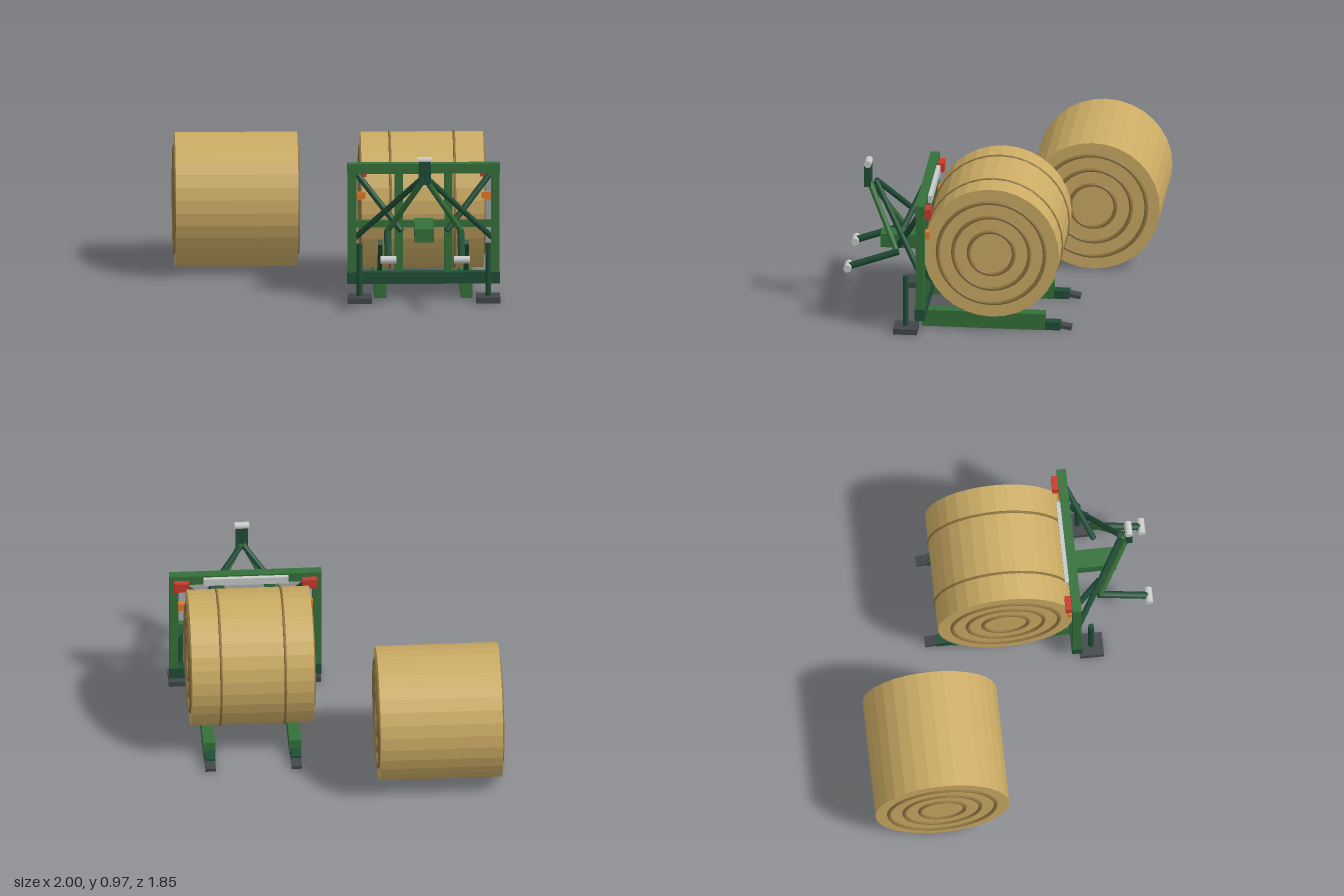
import * as THREE from 'three';

const mat = (name, color, flatShading = false) => {
  const m = new THREE.MeshStandardMaterial({ color, flatShading });
  m.name = name;
  return m;
};

export function createModel() {
  const M = {
    straw: mat('straw', 0xcbab64, true),
    twine: mat('twine', 0x8f7440),
    green: mat('frameGreen', 0x35703a),
    dark: mat('darkGreen', 0x1f4d36),
    grey: mat('darkGrey', 0x42464a),
    silver: mat('silver', 0xc8caca),
    red: mat('red', 0xc83a2c),
    orange: mat('orange', 0xe0782a),
  };
  const root = new THREE.Group();
  root.name = 'baleHandler';
  const CX = 0.53; // centre line of the carrier

  const add = (name, geo, material, parent = root) => {
    const mesh = new THREE.Mesh(geo, material);
    mesh.name = name;
    parent.add(mesh);
    return mesh;
  };
  // box from its min and max on each axis
  const box = (name, m, [x0, x1], [y0, y1], [z0, z1]) => {
    const b = add(name, new THREE.BoxGeometry(x1 - x0, y1 - y0, z1 - z0), m);
    b.position.set((x0 + x1) / 2, (y0 + y1) / 2, (z0 + z1) / 2);
    return b;
  };
  // round bar between two points
  const bar = (name, m, a, b, r, sides = 12) => {
    const p = new THREE.Vector3(...a), q = new THREE.Vector3(...b);
    const d = q.clone().sub(p);
    const c = add(name, new THREE.CylinderGeometry(r, r, d.length(), sides), m);
    c.position.copy(p).add(q).multiplyScalar(0.5);
    c.quaternion.setFromUnitVectors(new THREE.Vector3(0, 1, 0), d.normalize());
    return c;
  };

  // Round bale lying along x, with spiral rings on both ends
  const bale = (name, x0, x1, y, z, r, bands) => {
    const g = new THREE.Group();
    g.name = name;
    g.position.set((x0 + x1) / 2, y, z);
    root.add(g);
    const len = x1 - x0;
    const body = new THREE.CylinderGeometry(r, r, len, 32);
    body.rotateZ(Math.PI / 2);
    add('baleBody', body, M.straw, g);
    const ring = (label, radius, tube, x) => {
      const t = new THREE.TorusGeometry(radius, tube, 8, 40);
      t.rotateY(Math.PI / 2);
      add(label, t, M.twine, g).position.x = x;
    };
    for (const end of [-1, 1])
      for (const radius of [0.14, 0.237, 0.332]) ring('endRing', radius, 0.012, end * len / 2);
    for (const x of bands) ring('wrapBand', r, 0.008, x);
  };
  bale('carriedBale', 0.15, 0.905, 0.525, 0, 0.42, [-0.2, 0.197]);
  bale('looseBale', -0.985, -0.23, 0.417, -0.512, 0.415, []);

  // Upright frame
  box('topBeam', M.green, [0.06, 1], [0.79, 0.852], [0.405, 0.462]);
  box('bottomBeam', M.dark, [0.06, 1], [0.096, 0.168], [0.402, 0.467]);
  box('middleRail', M.green, [0.1, 0.96], [0.45, 0.493], [0.415, 0.452]);
  box('centreBracket', M.green, [0.47, 0.588], [0.413, 0.5], [0.42, 0.72]);
  box('lightBar', M.silver, [0.265, 0.79], [0.795, 0.842], [0.38, 0.406]);

  // Parts mirrored about the carrier centre line
  for (const s of [-1, 1]) {
    const X = (d) => CX + s * d;
    const span = (d0, d1) => [Math.min(X(d0), X(d1)), Math.max(X(d0), X(d1))];

    box('outerPost', M.green, span(0.415, 0.468), [0.15, 0.8], [0.407, 0.46]);
    box('innerPost', M.green, span(0.128, 0.178), [0.15, 0.8], [0.41, 0.457]);

    // Fork with stepped toe
    box('fork', M.green, span(0.228, 0.303), [0, 0.105], [-0.325, 0.437]);
    box('forkToe', M.dark, span(0.234, 0.298), [0, 0.052], [-0.42, -0.32]);
    const tip = box('forkTip', M.grey, span(0.234, 0.298), [0.011, 0.033], [-0.49, -0.39]);
    tip.rotation.x = -0.17;

    // Brace from fork to frame
    const brace = box('forkBrace', M.dark, span(0.252, 0.28), [0, 0.035], [0, 0.4]);
    brace.position.y = 0.215;
    brace.position.z = 0.285;
    brace.rotation.x = -0.74;

    // Parking stand
    bar('standLeg', M.dark, [X(0.397), 0.03, 0.527], [X(0.397), 0.365, 0.527], 0.018);
    box('standFoot', M.grey, span(0.322, 0.47), [0, 0.036], [0.452, 0.6]);

    // Hitch linkage
    bar('upperBrace', M.dark, [X(0.41), 0.785, 0.435], [X(0.14), 0.46, 0.6], 0.019);
    bar('mastBrace', M.dark, [X(0.42), 0.385, 0.435], [X(0.01), 0.83, 0.75], 0.018);
    bar('mastLeg', M.green, [X(0.01), 0.82, 0.79], [X(0.225), 0.465, 0.605], 0.018);
    bar('lowerArm', M.dark, [X(0.226), 0.455, 0.59], [X(0.226), 0.345, 0.9], 0.022);
    bar('lowerPin', M.silver, [X(0.178), 0.345, 0.902], [X(0.276), 0.345, 0.902], 0.024, 16);

    // Rear lights
    box('tailLight', M.red, span(0.35, 0.442), [0.76, 0.822], [0.367, 0.407]);
    box('sideMarker', M.orange, span(0.357, 0.416), [0.615, 0.662], [0.38, 0.408]);
  }

  // Upper hitch point
  box('mastHead', M.dark, [CX - 0.038, CX + 0.038], [0.8, 0.945], [0.78, 0.822]);
  bar('upperPin', M.silver, [CX - 0.045, 0.95, 0.8], [CX + 0.045, 0.95, 0.8], 0.023, 16);

  return root;
}
